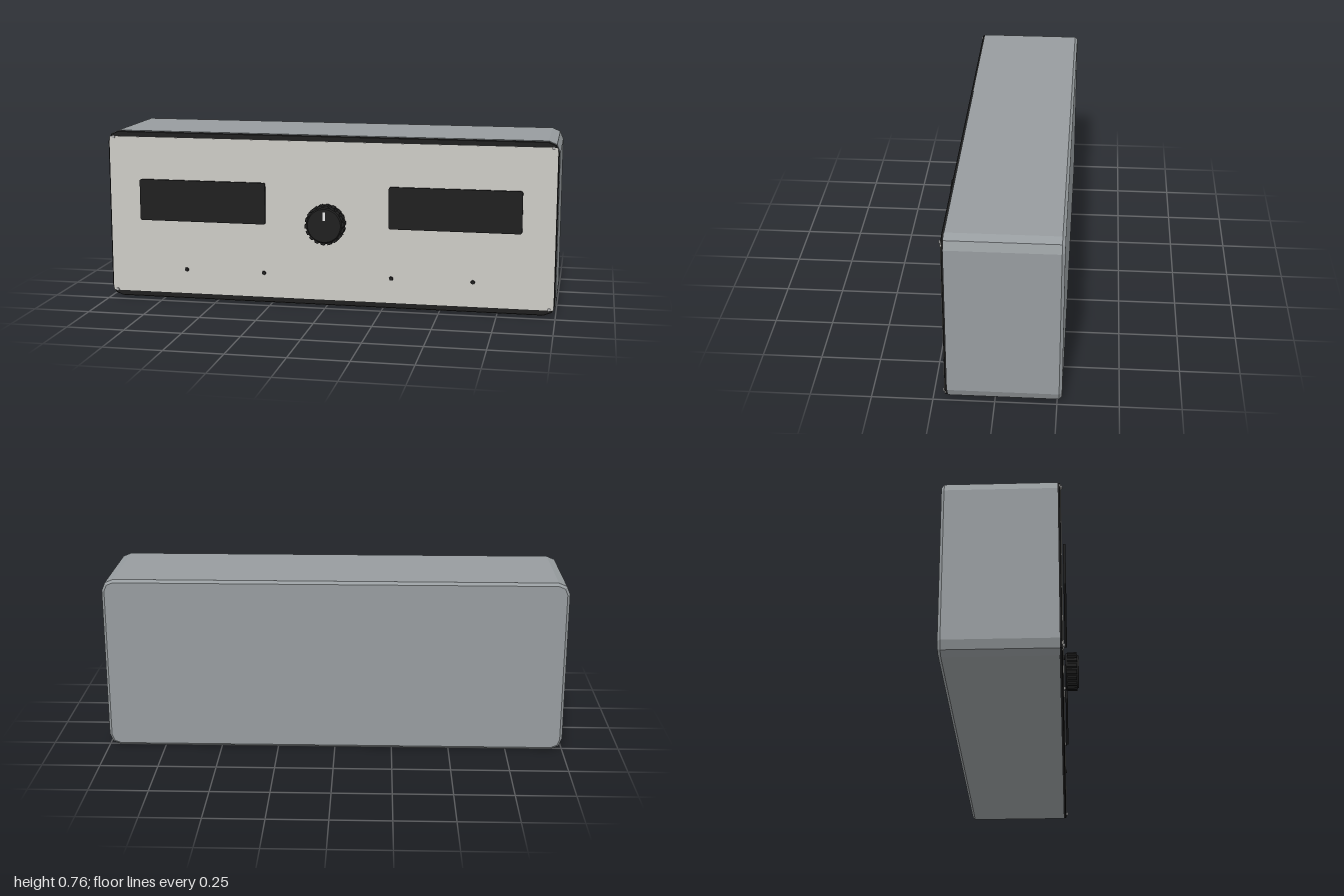
import * as THREE from 'three';

const W = 2, H = 0.76, MID = H / 2;

function mat(name, color, opts = {}) {
  const m = new THREE.MeshStandardMaterial({ color, ...opts });
  m.name = name;
  return m;
}

// Rounded rectangle loop, counter-clockwise, with a few segments per corner
function roundedLoop(w, h, r, segs) {
  const pts = [];
  const corners = [[1, -1, -90], [1, 1, 0], [-1, 1, 90], [-1, -1, 180]];
  for (const [sx, sy, start] of corners) {
    for (let i = 0; i <= segs; i++) {
      const a = THREE.MathUtils.degToRad(start + (90 * i) / segs);
      pts.push([sx * (w / 2 - r) + r * Math.cos(a), sy * (h / 2 - r) + r * Math.sin(a)]);
    }
  }
  return pts;
}

// Solid skinned through rounded rectangles; rings are [z, inset] from back to front
function roundedBlock(w, h, r, segs, rings) {
  const loops = rings.map(([z, inset]) =>
    roundedLoop(w - 2 * inset, h - 2 * inset, Math.max(r - inset, 0.001), segs)
      .map(([x, y]) => [x, y, z]));
  const n = loops[0].length, pos = [];
  const tri = (a, b, c) => pos.push(...a, ...b, ...c);
  for (let k = 0; k < loops.length - 1; k++) {
    for (let i = 0; i < n; i++) {
      const j = (i + 1) % n;
      tri(loops[k][i], loops[k][j], loops[k + 1][j]);
      tri(loops[k][i], loops[k + 1][j], loops[k + 1][i]);
    }
  }
  const back = loops[0], front = loops[loops.length - 1];
  for (let i = 1; i < n - 1; i++) {
    tri(back[0], back[i + 1], back[i]);
    tri(front[0], front[i], front[i + 1]);
  }
  const g = new THREE.BufferGeometry();
  g.setAttribute('position', new THREE.Float32BufferAttribute(pos, 3));
  g.computeVertexNormals();
  return g;
}

// Cylinder pointing along z, from z0 to z1
function discZ(rBack, rFront, z0, z1, sides) {
  return new THREE.CylinderGeometry(rFront, rBack, z1 - z0, sides)
    .rotateX(Math.PI / 2).translate(0, 0, (z0 + z1) / 2);
}

export function createModel() {
  const root = new THREE.Group();
  root.name = 'controlUnit';

  const casing = mat('casingGrey', 0x979c9f);
  const black = mat('black', 0x202020);
  const panel = mat('panelBeige', 0xcdcbc6);
  const steel = mat('screwGrey', 0xb0b0b0);
  const white = mat('pointerWhite', 0xf0f0f0);

  const add = (parent, name, geo, material, x = 0, y = 0, z = 0) => {
    const m = new THREE.Mesh(geo, material);
    m.name = name;
    m.position.set(x, y, z);
    parent.add(m);
    return m;
  };

  // Casing with chamfered back edge
  add(root, 'casing', roundedBlock(W, H, 0.05, 2,
    [[-0.27, 0.012], [-0.258, 0], [0.192, 0]]), casing, 0, MID);

  // Black front trim, showing above and below the panel
  add(root, 'frontTrim', roundedBlock(W, H, 0.05, 2,
    [[0.19, 0.003], [0.199, 0.003], [0.202, 0.006]]), black, 0, MID);

  // Light front panel
  add(root, 'frontPanel', new THREE.BoxGeometry(1.982, 0.706, 0.004), panel, 0, MID, 0.202);

  // Display windows, corner screws and indicator pins, mirrored
  const windowGeo = roundedBlock(0.575, 0.185, 0.008, 3, [[0.209, 0], [0.219, 0]]);
  const screwGeo = discZ(0.007, 0.007, 0.204, 0.21, 10);
  const pinGeo = discZ(0.01, 0.008, 0.202, 0.21, 10);
  for (const s of [-1, 1]) {
    const side = s > 0 ? 'left' : 'right';
    add(root, side + 'Display', windowGeo, black, s * 0.5625, 0.452);
    for (const y of [0.031, 0.731]) add(root, side + 'Screw', screwGeo, steel, s * 0.972, y);
    for (const x of [0.286, 0.643]) add(root, side + 'Indicator', pinGeo, black, s * x, 0.137);
  }

  // Fluted knob
  const knob = new THREE.Group();
  knob.name = 'knob';
  knob.position.set(0, 0.374, 0);
  root.add(knob);
  const teeth = 18, outline = [];
  for (let i = 0; i < teeth; i++) {
    [[0, 0.088], [0.5, 0.088], [0.62, 0.081], [0.88, 0.081]].forEach(([f, r]) => {
      const a = ((i + f) / teeth) * Math.PI * 2;
      outline.push(new THREE.Vector2(r * Math.cos(a), r * Math.sin(a)));
    });
  }
  const grip = new THREE.ExtrudeGeometry(new THREE.Shape(outline), { depth: 0.044, bevelEnabled: false });
  add(knob, 'knobGrip', grip, black, 0, 0, 0.218);
  add(knob, 'knobBase', discZ(0.084, 0.084, 0.212, 0.219, 36), black);
  add(knob, 'knobCap', discZ(0.078, 0.073, 0.261, 0.27, 36), black);
  add(knob, 'knobPointer', new THREE.BoxGeometry(0.01, 0.036, 0.002), white, 0, 0.041, 0.2705);

  return root;
}
